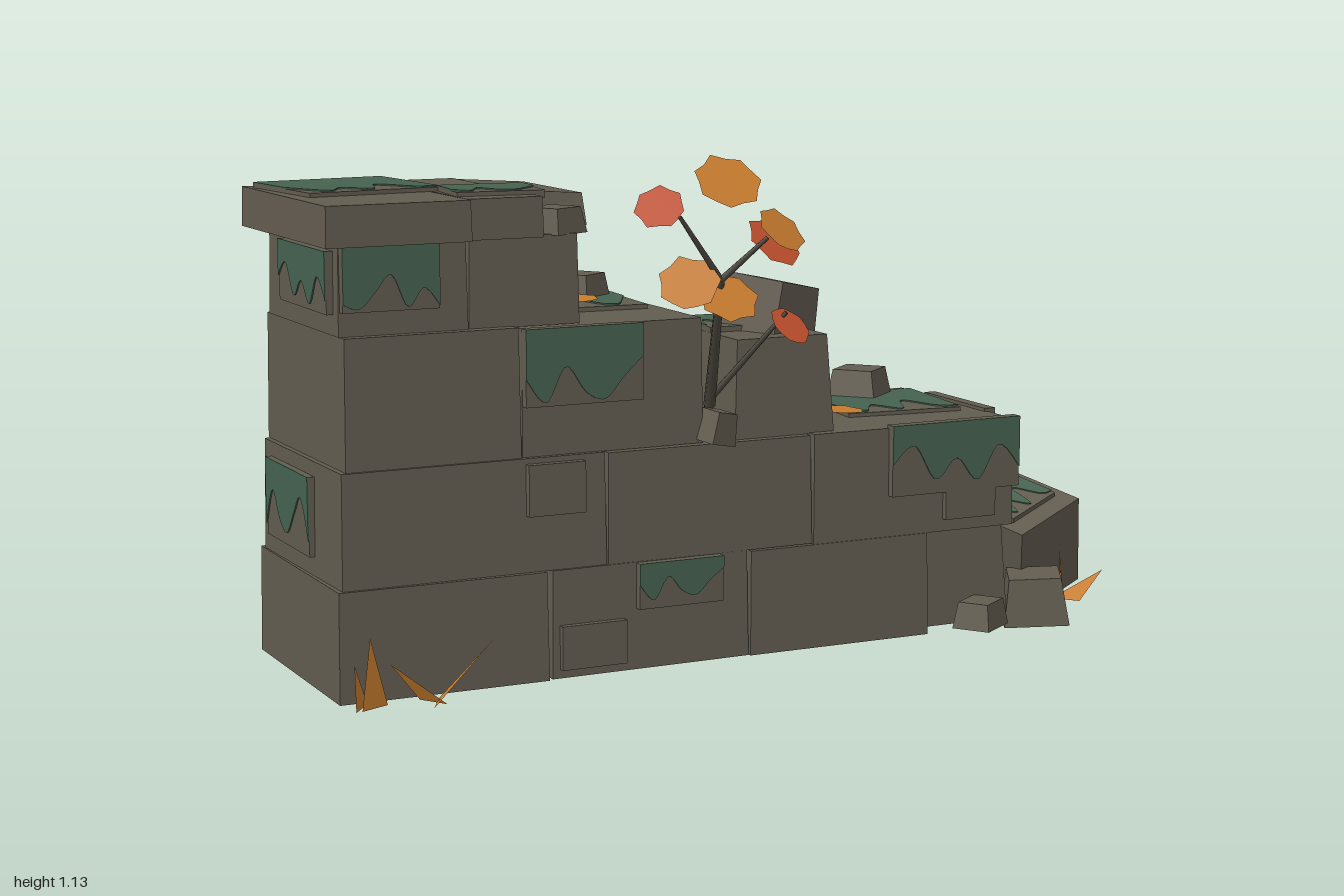
import * as THREE from 'three';

const mat = (name, color) => {
  const m = new THREE.MeshStandardMaterial({ color, side: THREE.DoubleSide });
  m.name = name;
  return m;
};

export function createModel() {
  const root = new THREE.Group();
  root.name = 'ruinedWall';
  const stone = mat('stone', 0x625c50);
  const moss = mat('moss', 0x466250);
  const orange = mat('autumnOrange', 0xc67c2e);
  const red = mat('autumnRed', 0xc2502f);
  const bark = mat('bark', 0x4a453b);

  let seed = 7;
  const rnd = () => (seed = (seed * 16807) % 2147483647) / 2147483647;
  const jit = (a) => (rnd() - 0.5) * 2 * a;

  function add(name, geo, material, parent = root) {
    const m = new THREE.Mesh(geo, material);
    m.name = name;
    parent.add(m);
    return m;
  }

  // Box whose corners are moved by a rule; optionally without its bottom
  function stoneGeo(w, h, d, move, open) {
    const g = new THREE.BoxGeometry(w, h, d);
    if (open) {
      const i = Array.from(g.index.array);
      i.splice(18, 6);
      g.setIndex(i);
    }
    const p = g.attributes.position, v = new THREE.Vector3();
    for (let i = 0; i < p.count; i++) {
      v.fromBufferAttribute(p, i);
      move(v);
      p.setXYZ(i, v.x, v.y, v.z);
    }
    const flat = g.toNonIndexed();
    flat.computeVertexNormals();
    return flat;
  }

  // Hollow wall block given by its limits, slightly narrower at the top
  function block(name, x0, x1, y0, y1, z0, z1, inset = 0.003) {
    const geo = stoneGeo(x1 - x0, y1 - y0, z1 - z0, (v) => {
      if (v.y > 0) { v.x -= Math.sign(v.x) * inset; v.z -= Math.sign(v.z) * inset; }
    }, true);
    const m = add(name, geo, stone);
    m.position.set((x0 + x1) / 2, (y0 + y1) / 2, (z0 + z1) / 2);
    m.rotation.y = jit(0.01);
  }

  // Courses of the wall, from the ground up
  [
    [-0.98, -0.515, 0.03, 0.264, -0.27, 0.262],
    [-0.51, -0.042, 0.03, 0.264, -0.262, 0.255],
    [-0.037, 0.412, 0.03, 0.262, -0.268, 0.26],
    [0.415, 0.66, 0.03, 0.25, -0.25, 0.2, 0.012],
  ].forEach((b) => block('firstCourseBlock', ...b));
  [
    [-0.97, -0.377, 0.264, 0.507, -0.25, 0.248],
    [-0.374, 0.118, 0.264, 0.505, -0.255, 0.25],
    [0.121, 0.635, 0.262, 0.507, -0.25, 0.255],
  ].forEach((b) => block('secondCourseBlock', ...b));
  [
    [-0.955, -0.567, 0.507, 0.782, -0.255, 0.238],
    [-0.563, -0.14, 0.506, 0.778, -0.25, 0.23],
  ].forEach((b) => block('thirdCourseBlock', ...b));
  block('brokenBlock', -0.06, 0.185, 0.505, 0.722, -0.22, 0.225, 0.012);
  [
    [-0.955, -0.672, 0.782, 0.97, -0.23, 0.212],
    [-0.668, -0.418, 0.78, 0.97, -0.235, 0.205],
  ].forEach((b) => block('fourthCourseBlock', ...b));

  // Capping slabs, the last one short and broken off at a slope
  block('capSlab', -1, -0.685, 0.97, 1.055, -0.265, 0.272, 0.002);
  block('capSlab', -0.684, -0.515, 0.97, 1.055, -0.265, 0.25, 0.002);
  const end = add('brokenCapSlab', stoneGeo(0.17, 0.08, 0.35, (v) => {
    if (v.x > 0 && v.y > 0) v.y -= 0.012;
    if (v.y > 0 && v.z > 0) v.z -= 0.025;
  }, true), stone);
  end.position.set(-0.43, 1.013, -0.092);

  // Thin slab, with an optional moss sheet whose lower edge hangs in drips
  const drips = [0.12, -0.22, 0.26, -0.08, 0.2, -0.3, -0.05, 0.24];
  function plate(x, y, z, rot, w, h, cover = 0, t = 0.025) {
    const g = new THREE.Group();
    g.name = cover ? 'mossyPatch' : 'stonePatch';
    g.position.set(x, y, z);
    g.rotation.set(...rot);
    root.add(g);
    add('slab', new THREE.BoxGeometry(w, h, t), stone, g);
    if (!cover) return g;
    const n = 6, shift = Math.floor(rnd() * 8);
    const pts = [];
    for (let i = 0; i <= n; i++) {
      const drop = cover + drips[(i + shift) % 8];
      pts.push(new THREE.Vector2(w * (0.5 - i / n), h * (0.5 - Math.min(drop, 0.95))));
    }
    const s = new THREE.Shape();
    s.moveTo(-w / 2, h / 2);
    s.lineTo(w / 2, h / 2);
    s.lineTo(pts[0].x, pts[0].y);
    s.splineThru(pts.slice(1));
    s.closePath();
    const sheet = new THREE.ExtrudeGeometry(s, { depth: 0.003, bevelEnabled: false, curveSegments: 4 });
    add('mossSheet', sheet, moss, g).position.z = t / 2;
    return g;
  }

  const H = Math.PI / 2;
  const front = [0, 0, 0], back = [0, Math.PI, 0], right = [0, H, 0], left = [0, -H, 0];
  const top = (yaw) => [-H, 0, yaw];
  // Front
  plate(-0.845, 0.9, 0.217, front, 0.21, 0.135, 0.75);
  plate(-0.425, 0.697, 0.238, front, 0.27, 0.165, 0.72);
  plate(-0.21, 0.213, 0.258, front, 0.2, 0.1, 0.55);
  plate(0.475, 0.434, 0.258, front, 0.33, 0.16, 0.6);
  plate(-0.495, 0.44, 0.25, front, 0.13, 0.11);
  plate(-0.415, 0.097, 0.258, front, 0.15, 0.095);
  plate(0.515, 0.325, 0.256, front, 0.13, 0.07);
  // Back
  plate(0.33, 0.425, -0.255, back, 0.34, 0.15, 0.6);
  plate(-0.47, 0.705, -0.253, back, 0.25, 0.14, 0.6);
  plate(-0.795, 0.7, -0.258, back, 0.27, 0.16, 0.6);
  plate(-0.035, 0.43, -0.258, back, 0.15, 0.09);
  plate(-0.82, 0.15, -0.27, back, 0.22, 0.11);
  // Ends
  plate(0.635, 0.442, 0.015, right, 0.27, 0.145, 0.62);
  plate(-0.955, 0.89, 0.03, left, 0.3, 0.13, 0.65);
  plate(-0.968, 0.39, -0.06, left, 0.28, 0.17, 0.6);
  // Tops
  plate(-0.825, 1.056, -0.09, top(0.1), 0.3, 0.29, 0.85, 0.016);
  plate(-0.58, 1.056, 0.115, top(-0.1), 0.19, 0.16, 0.8, 0.016);
  plate(-0.265, 0.778, -0.11, top(-0.06), 0.19, 0.28, 0.78, 0.02);
  plate(0.05, 0.724, -0.01, top(-0.03), 0.19, 0.19, 0.65, 0.02);
  plate(0.455, 0.506, -0.04, top(-0.1), 0.28, 0.28, 0.78, 0.02);

  // Loose stones: position, size, rotation
  const rock = (name, pos, size, rot, taper = 0.8) => {
    const m = add(name, stoneGeo(...size, (v) => {
      if (v.y > 0) { v.x *= taper; v.z *= taper; }
    }), stone);
    m.position.set(...pos);
    m.rotation.set(...rot, 'YXZ');
    return m;
  };
  const fallen = rock('fallenBlock', [0.78, 0.168, -0.03], [0.23, 0.225, 0.31], [0.22, 0.39, 0.27], 0.96);
  fallen.add(plate(0, 0.114, 0, top(0), 0.16, 0.2, 0.78, 0.02));
  [
    [[0.74, 0.07, 0.19], [0.15, 0.11, 0.14], [0.05, -0.5, 0.05]],
    [[0.56, 0.06, 0.245], [0.11, 0.06, 0.09], [0, 0.6, 0]],
    [[0.83, 0.065, -0.21], [0.12, 0.095, 0.12], [0.05, 0.35, 0]],
    [[0.46, 0.545, -0.15], [0.12, 0.07, 0.12], [0, 0.7, 0]],
    [[-0.25, 0.81, -0.16], [0.1, 0.06, 0.09], [0, 0.6, 0]],
    [[-0.45, 0.995, 0.15], [0.1, 0.055, 0.1], [0, 0.5, 0]],
    [[-0.11, 0.54, 0.235], [0.07, 0.07, 0.07], [0.1, 0.3, -0.2]],
  ].forEach((r) => rock('looseStone', ...r));
  rock('perchedStone', [0.105, 0.755, 0.06], [0.15, 0.15, 0.18], [0.08, 0.4, -0.2], 0.88);

  // Sapling growing out of the wall
  const branch = (a, b, r) => {
    const A = new THREE.Vector3(...a), d = new THREE.Vector3(...b).sub(A);
    const m = add('branch', new THREE.CylinderGeometry(r * 0.6, r, d.length(), 5), bark);
    m.position.copy(A).addScaledVector(d, 0.5);
    m.quaternion.setFromUnitVectors(new THREE.Vector3(0, 1, 0), d.normalize());
  };
  const fork = [-0.15, 0.87, 0.335];
  branch([-0.11, 0.58, 0.2], fork, 0.014);
  branch([-0.11, 0.6, 0.21], [0.02, 0.79, 0.31], 0.008);
  branch(fork, [-0.26, 1.01, 0.365], 0.008);
  branch(fork, [-0.06, 0.96, 0.375], 0.008);

  // Ragged flat leaves
  function leaf(name, pos, rot, r, material) {
    const s = new THREE.Shape();
    for (let i = 0; i < 14; i++) {
      const a = (i / 14) * Math.PI * 2, k = r * ((i % 2 ? 0.89 : 1) + jit(0.05));
      s[i ? 'lineTo' : 'moveTo'](k * Math.cos(a), k * Math.sin(a) * 0.92);
    }
    s.closePath();
    const m = add(name, new THREE.ShapeGeometry(s), material);
    m.position.set(...pos);
    m.rotation.set(...rot);
  }
  // x, y, z, colour, radius, yaw, roll
  [
    [-0.29, 1.03, 0.33, red, 0.057, -0.3, 0.4],
    [-0.145, 1.08, 0.36, orange, 0.077, 0, 0],
    [-0.02, 0.945, 0.33, red, 0.068, 0.3, -0.3],
    [-0.025, 0.975, 0.372, orange, 0.062, 0.35, -0.3],
    [-0.23, 0.87, 0.345, orange, 0.07, -0.3, 0.7],
    [-0.14, 0.835, 0.35, orange, 0.07, 0, 0],
    [0.025, 0.762, 0.32, red, 0.052, 0.3, -0.2],
  ].forEach(([x, y, z, m, r, yaw, roll]) => leaf('saplingLeaf', [x, y, z], [-0.75, yaw, roll], r, m));
  leaf('fallenLeaf', [-0.31, 0.797, -0.07], [-H + 0.05, 0, 0.3], 0.06, orange);
  leaf('fallenLeaf', [0.28, 0.526, 0.07], [-H, 0.06, 0.8], 0.068, orange);

  // Dry grass: flat tapering blades with base centre, tip and base direction
  const blade = (x, z, tx, ty, tz, angle) => {
    const dx = Math.cos(angle) * 0.035, dz = Math.sin(angle) * 0.035;
    const g = new THREE.BufferGeometry();
    g.setAttribute('position', new THREE.Float32BufferAttribute(
      [x - dx, 0.03, z + dz, x + dx, 0.03, z - dz, tx, ty, tz], 3));
    g.computeVertexNormals();
    add('grassBlade', g, orange);
  };
  [
    [-0.925, 0.31, -0.93, 0.175, 0.3, 0.4], [-0.95, 0.3, -0.975, 0.13, 0.33, 0.9],
    [-0.8, 0.33, -0.685, 0.165, 0.37, 1.1], [-0.8, 0.315, -0.88, 0.11, 0.28, -1.0],
    [0.13, -0.29, 0.125, 0.18, -0.42, 0.2], [0.13, -0.29, 0.165, 0.16, -0.25, 1.0],
    [0.87, 0.11, 0.86, 0.165, 0.11, 0.9], [0.88, 0.11, 0.99, 0.09, 0.1, -0.9],
  ].forEach((b) => blade(...b));

  return root;
}
